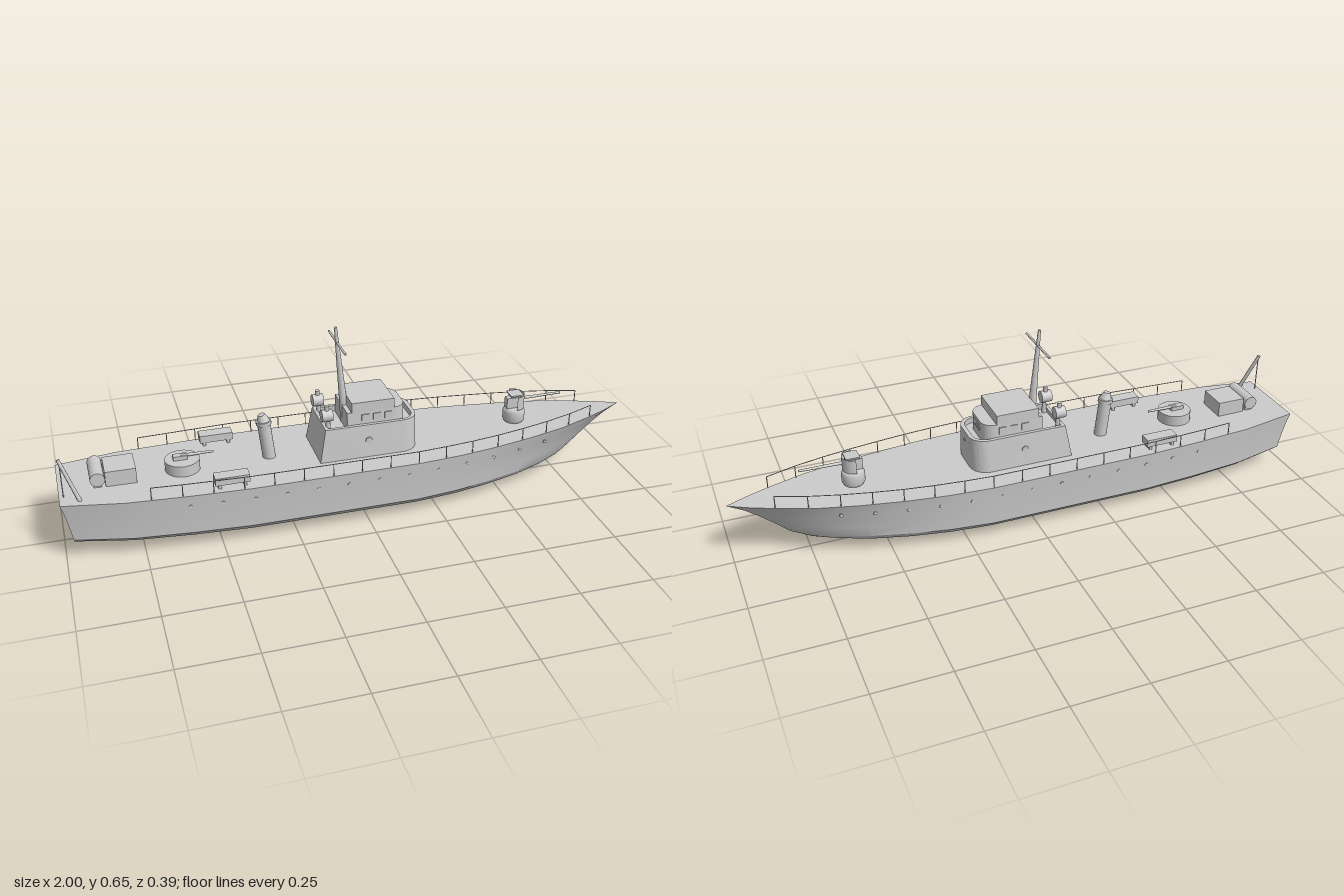
import * as THREE from 'three';
import { toCreasedNormals } from 'three/addons/utils/BufferGeometryUtils.js';

const mat = new THREE.MeshStandardMaterial({ color: 0xcccccc, side: THREE.DoubleSide });

// Hull stations: xDeck, xKeel, halfDeck, halfChine, yDeck, yChine, yKeel
const STATIONS = [
  [-1, -0.965, 0.135, 0.122, 0.214, 0.075, 0.037],
  [-0.8, -0.78, 0.17, 0.16, 0.212, 0.071, 0.021],
  [-0.6, -0.59, 0.183, 0.174, 0.21, 0.067, 0.01],
  [-0.4, -0.4, 0.193, 0.184, 0.21, 0.065, 0.004],
  [0.17, 0.17, 0.193, 0.183, 0.21, 0.065, 0.004],
  [0.32, 0.31, 0.183, 0.168, 0.211, 0.066, 0.005],
  [0.45, 0.43, 0.166, 0.146, 0.212, 0.068, 0.009],
  [0.6, 0.56, 0.14, 0.113, 0.215, 0.071, 0.018],
  [0.73, 0.66, 0.11, 0.077, 0.218, 0.077, 0.031],
  [0.85, 0.735, 0.068, 0.042, 0.221, 0.085, 0.046],
  [0.93, 0.775, 0.035, 0.018, 0.223, 0.092, 0.062],
  [1, 0.81, 0, 0, 0.225, 0.1, 0.08],
];

function add(group, name, geo, x = 0, y = 0, z = 0) {
  const m = new THREE.Mesh(geo, mat);
  m.name = name;
  m.position.set(x, y, z);
  group.add(m);
  return m;
}
const box = (g, n, x0, x1, y0, y1, z0, z1) =>
  add(g, n, new THREE.BoxGeometry(x1 - x0, y1 - y0, z1 - z0), (x0 + x1) / 2, (y0 + y1) / 2, (z0 + z1) / 2);

// Tapered rod between two points
function rod(g, name, a, b, r0, r1 = r0, seg = 8) {
  const A = new THREE.Vector3(...a), B = new THREE.Vector3(...b);
  const d = B.clone().sub(A);
  const m = add(g, name, new THREE.CylinderGeometry(r1, r0, d.length(), seg));
  m.position.copy(A).add(B).multiplyScalar(0.5);
  m.quaternion.setFromUnitVectors(new THREE.Vector3(0, 1, 0), d.normalize());
  return m;
}

// Point on one half of a station's cross-section
function sidePoint(s, f) {
  const y = s[4] + (s[5] - s[4]) * f;
  return [y, s[3] + (s[2] - s[3]) * Math.pow(1 - f, 1.3)];
}
function section(s) {
  const half = [0, 0.25, 0.5, 0.75, 1].map(f => sidePoint(s, f));
  for (const [h, w] of [[0.6, 0.87], [0.32, 0.62], [0.13, 0.33]])
    half.push([s[6] + (s[5] - s[6]) * h, s[3] * w]);
  const ring = [[s[4], 0], ...half, [s[6], 0], ...half.slice().reverse().map(([y, z]) => [y, -z])];
  return ring.map(([y, z]) => {
    const t = Math.max(0, (s[4] - y) / (s[4] - s[6]));
    return [s[0] + (s[1] - s[0]) * Math.pow(t, 0.8), y, z];
  });
}
function hullGeometry() {
  const rings = STATIONS.map(section), n = rings[0].length, idx = [];
  for (let i = 0; i < rings.length - 1; i++)
    for (let j = 0; j < n; j++) {
      const a = i * n + j, c = i * n + (j + 1) % n, b = a + n, d = c + n;
      idx.push(a, c, b, b, c, d);
    }
  // transom
  const centre = rings.length * n;
  for (let j = 0; j < n; j++) idx.push(centre, (j + 1) % n, j);
  const pos = [...rings.flat(2), -0.985, 0.13, 0];
  const g = new THREE.BufferGeometry();
  g.setAttribute('position', new THREE.Float32BufferAttribute(pos, 3));
  g.setIndex(idx);
  return toCreasedNormals(g, 0.45);
}

// Deck or side data interpolated at x
function stationAt(x) {
  let i = 0;
  while (i < STATIONS.length - 2 && STATIONS[i + 1][0] < x) i++;
  const a = STATIONS[i], b = STATIONS[i + 1], t = (x - a[0]) / (b[0] - a[0]);
  return a.map((v, k) => v + (b[k] - v) * t);
}

// Plan outline with a square back and rounded front corners
function outline(T, x0, x1, w, r) {
  const s = new T();
  s.moveTo(x0, -w);
  s.lineTo(x1 - r, -w);
  s.absarc(x1 - r, -w + r, r, -Math.PI / 2, 0, false);
  s.lineTo(x1, w - r);
  s.absarc(x1 - r, w - r, r, 0, Math.PI / 2, false);
  s.lineTo(x0, w);
  s.closePath();
  return s;
}
function block(g, name, shape, y0, y1, rearRake = 0, sideTaper = 0) {
  const geo = new THREE.ExtrudeGeometry(shape, { depth: y1 - y0, bevelEnabled: false, curveSegments: 6 });
  geo.rotateX(-Math.PI / 2);
  const p = geo.attributes.position;
  for (let i = 0; i < p.count; i++) {
    const t = p.getY(i) / (y1 - y0);
    if (p.getX(i) < 0) p.setX(i, p.getX(i) + rearRake * t);
    p.setZ(i, p.getZ(i) * (1 - sideTaper * t));
  }
  return add(g, name, toCreasedNormals(geo, 0.5), 0, y0, 0);
}

export function createModel() {
  const ship = new THREE.Group();
  ship.name = 'patrolShip';
  add(ship, 'hull', hullGeometry());

  // Guard rails and portholes on both sides
  for (const side of [1, -1]) {
    const rail = new THREE.Group();
    rail.name = side > 0 ? 'leftRail' : 'rightRail';
    ship.add(rail);
    let last = null;
    for (let i = 0; i <= 16; i++) {
      const x = -0.72 + i * 0.0985, s = stationAt(x), z = side * (s[2] - 0.004);
      const top = [x, s[4] + 0.043, z];
      rod(rail, 'stanchion', [x, s[4] - 0.002, z], top, 0.0017, 0.0017, 5);
      if (last) rod(rail, 'railWire', last, top, 0.0015, 0.0015, 5);
      last = top;
    }
    for (let x = -0.6; x < 0.68; x += 0.105) {
      const s = stationAt(x), [y, z] = sidePoint(s, 0.28);
      rod(ship, 'porthole', [x, y, side * (z - 0.008)], [x, y, side * (z + 0.002)], 0.006, 0.006, 10);
    }
  }

  // Deckhouse with a low bulwark around its open top
  block(ship, 'deckhouse', outline(THREE.Shape, -0.15, 0.2, 0.1, 0.06), 0.205, 0.305, 0.018, 0.08);
  const wall = outline(THREE.Shape, -0.132, 0.2, 0.092, 0.057);
  wall.holes.push(outline(THREE.Path, -0.12, 0.186, 0.08, 0.045));
  block(ship, 'bridgeBulwark', wall, 0.305, 0.326, 0.004, 0.02);
  for (const side of [1, -1])
    rod(ship, 'housePorthole', [0.02, 0.27, side * 0.085], [0.02, 0.27, side * 0.099], 0.012, 0.012, 12);
  rod(ship, 'frontPorthole', [0.19, 0.295, 0], [0.203, 0.295, 0], 0.005, 0.005, 10);

  // Wheelhouse with windows and roof
  block(ship, 'wheelhouse', outline(THREE.Shape, -0.05, 0.157, 0.078, 0.045), 0.3, 0.371, 0, 0.04);
  box(ship, 'roof', -0.035, 0.113, 0.37, 0.406, -0.078, 0.078);
  for (const z of [-0.03, -0.009, 0.012]) box(ship, 'frontWindow', 0.15, 0.159, 0.336, 0.36, z, z + 0.018);
  for (const side of [1, -1])
    for (const x of [0, 0.04, 0.08]) {
      const w = box(ship, 'sideWindow', x, x + 0.026, 0.336, 0.36, 0.072, 0.079);
      w.position.z *= side;
    }

  // Mast and yard
  rod(ship, 'mast', [-0.036, 0.305, 0], [-0.067, 0.652, 0], 0.016, 0.005, 12);
  rod(ship, 'yard', [-0.062, 0.597, -0.1], [-0.062, 0.597, 0.1], 0.004);

  // Signal lamps behind the wheelhouse
  for (const z of [-0.06, 0.06]) {
    rod(ship, 'lampPost', [-0.112, 0.3, z], [-0.112, 0.35, z], 0.01, 0.007);
    rod(ship, 'lamp', [-0.135, 0.366, z], [-0.098, 0.366, z], 0.021, 0.021, 14);
    rod(ship, 'lampVent', [-0.116, 0.38, z], [-0.116, 0.402, z], 0.008, 0.008);
  }

  // Raked funnel with cap
  rod(ship, 'funnel', [-0.302, 0.205, 0], [-0.318, 0.345, 0], 0.022, 0.022, 18);
  rod(ship, 'funnelRim', [-0.317, 0.335, 0], [-0.318, 0.348, 0], 0.026, 0.026, 18);
  rod(ship, 'funnelCap', [-0.318, 0.346, 0], [-0.324, 0.37, 0], 0.022, 0.012, 18);

  // Forward gun: drum, curved shield, barrel
  const gun = new THREE.Group();
  gun.name = 'forwardGun';
  ship.add(gun);
  const profile = [[0, 0], [0.032, 0], [0.039, 0.012], [0.039, 0.042], [0.033, 0.055], [0, 0.055]];
  add(gun, 'gunDrum', new THREE.LatheGeometry(profile.map(p => new THREE.Vector2(...p)), 20), 0.587, 0.214, 0);
  add(gun, 'gunShield', new THREE.CylinderGeometry(0.039, 0.039, 0.05, 16, 1, true, 0, Math.PI), 0.582, 0.296, 0);
  box(gun, 'gunBreech', 0.555, 0.61, 0.268, 0.308, -0.012, 0.012);
  box(gun, 'shieldTop', 0.565, 0.612, 0.317, 0.322, -0.024, 0.024);
  rod(gun, 'gunBarrel', [0.59, 0.298, 0], [0.762, 0.3, 0], 0.006, 0.004);

  // Aft gun on a round platform
  rod(ship, 'aftPlatform', [-0.595, 0.205, 0], [-0.595, 0.248, 0], 0.058, 0.058, 24);
  box(ship, 'aftGunMount', -0.625, -0.578, 0.246, 0.262, -0.012, 0.012);
  rod(ship, 'aftGunBarrel', [-0.6, 0.259, 0], [-0.49, 0.259, 0], 0.006, 0.004);

  // Deck lockers on short legs
  for (const z of [-0.148, 0.148]) {
    box(ship, 'locker', -0.515, -0.402, 0.224, 0.25, z - 0.022, z + 0.022);
    for (const x of [-0.5, -0.417]) box(ship, 'lockerLeg', x - 0.005, x + 0.005, 0.205, 0.225, z - 0.018, z + 0.018);
  }

  // Stern gear: hatch box, cable drum, boom and staff
  box(ship, 'sternBox', -0.85, -0.75, 0.205, 0.265, -0.052, 0.052);
  rod(ship, 'cableDrum', [-0.875, 0.246, -0.062], [-0.875, 0.246, 0.062], 0.024, 0.024, 18);
  for (const z of [-0.045, 0.045]) box(ship, 'drumCradle', -0.888, -0.862, 0.205, 0.235, z - 0.005, z + 0.005);
  rod(ship, 'sternBoom', [-0.935, 0.208, 0.116], [-0.988, 0.35, 0.082], 0.007, 0.006);
  rod(ship, 'sternStaff', [-0.985, 0.208, 0.082], [-0.985, 0.345, 0.082], 0.0018, 0.0018, 5);
  return ship;
}
